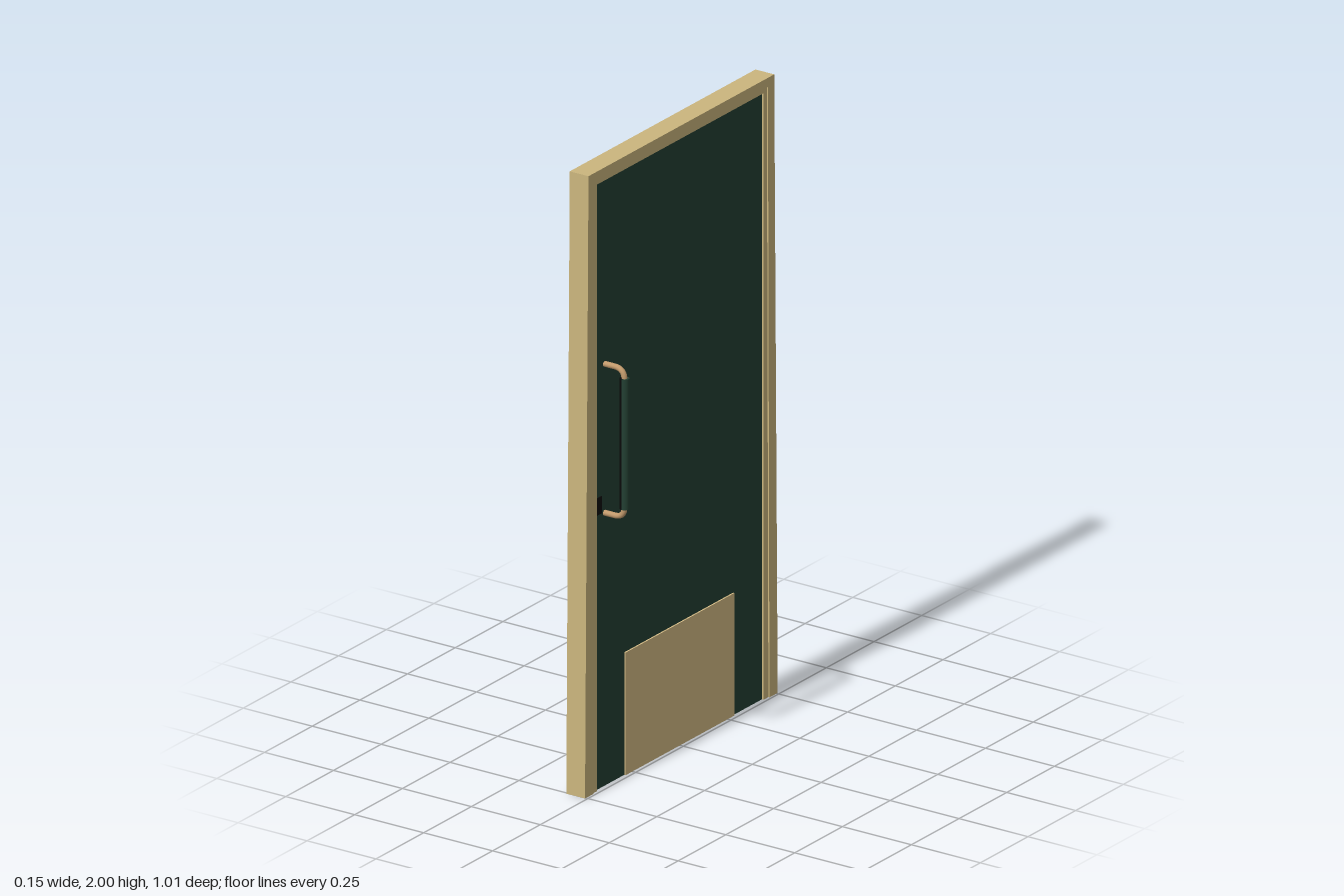
import * as THREE from 'three';

const mat = (name, color) => {
  const m = new THREE.MeshStandardMaterial({ color });
  m.name = name;
  return m;
};

export function createModel() {
  const model = new THREE.Group();
  model.name = 'door';
  const tan = mat('tan frame', 0xcbb67e);
  const brass = mat('pale brass', 0xd4bb85);
  const green = mat('dark green', 0x234033);
  const bronze = mat('handle bronze', 0xc29a6c);
  const brown = mat('dark brown', 0x4a3420);
  const black = mat('black', 0x0a0a0a);

  const add = (name, geometry, material, parent = model) => {
    const mesh = new THREE.Mesh(geometry, material);
    mesh.name = name;
    parent.add(mesh);
    return mesh;
  };
  const box = (name, material, x0, x1, y0, y1, z0, z1) => {
    const m = add(name, new THREE.BoxGeometry(x1 - x0, y1 - y0, z1 - z0), material);
    m.position.set((x0 + x1) / 2, (y0 + y1) / 2, (z0 + z1) / 2);
    return m;
  };
  // Outline drawn in the z-y plane, running in depth from xFront back to xBack
  const slab = (name, shape, material, xFront, xBack) => {
    const g = new THREE.ExtrudeGeometry(shape, { depth: xFront - xBack, bevelEnabled: false, curveSegments: 6 });
    g.rotateY(-Math.PI / 2);
    g.translate(xFront, 0, 0);
    return add(name, g, material);
  };
  // Arch of two posts and a head: half widths at the foot and at the top, outside and inside
  const arch = (outFoot, outTop, outY, inFoot, inTop, inY) => new THREE.Shape([
    [-outFoot, 0], [-inFoot, 0], [-inTop, inY], [inTop, inY],
    [inFoot, 0], [outFoot, 0], [outTop, outY], [-outTop, outY],
  ].map(([z, y]) => new THREE.Vector2(z, y)));

  // Tapered surround, stepped inner stop, dark lining behind the leaf
  slab('frame', arch(0.505, 0.487, 2, 0.462, 0.454, 1.97), tan, -0.007, -0.075);
  slab('frameStop', arch(0.463, 0.455, 1.971, 0.437, 0.437, 1.955), tan, -0.011, -0.027);
  slab('frameLining', arch(0.462, 0.454, 1.97, 0.457, 0.449, 1.965), brown, -0.027, -0.074);

  // Door leaf
  box('doorLeaf', green, -0.026, -0.017, 0, 1.956, -0.438, 0.438);
  box('kickPlate', brass, -0.017, -0.012, 0, 0.395, -0.285, 0.285);

  // Rear kick plate with rounded upper corners
  const w = 0.285, h = 0.395, r = 0.035;
  const plate = new THREE.Shape();
  plate.moveTo(-w, 0);
  plate.lineTo(w, 0);
  plate.lineTo(w, h - r);
  plate.quadraticCurveTo(w, h, w - r, h);
  plate.lineTo(-w + r, h);
  plate.quadraticCurveTo(-w, h, -w, h - r);
  slab('rearKickPlate', plate, black, -0.026, -0.029);

  // Pull handle
  const handle = new THREE.Group();
  handle.name = 'handle';
  handle.position.z = 0.388;
  model.add(handle);
  const yLow = 0.88, yHigh = 1.36, xBar = 0.055, bend = 0.035;
  const v = (x, y) => new THREE.Vector3(x, y, 0);
  const path = new THREE.CurvePath();
  path.add(new THREE.LineCurve3(v(-0.018, yLow), v(xBar - bend, yLow)));
  path.add(new THREE.QuadraticBezierCurve3(v(xBar - bend, yLow), v(xBar, yLow), v(xBar, yLow + bend)));
  path.add(new THREE.LineCurve3(v(xBar, yLow + bend), v(xBar, yHigh - bend)));
  path.add(new THREE.QuadraticBezierCurve3(v(xBar, yHigh - bend), v(xBar, yHigh), v(xBar - bend, yHigh)));
  path.add(new THREE.LineCurve3(v(xBar - bend, yHigh), v(-0.018, yHigh)));
  add('handleTube', new THREE.TubeGeometry(path, 120, 0.009, 12), bronze, handle);

  // Grip sleeve: green outward half, black inward half
  const half = (name, material, start) => {
    const g = new THREE.CylinderGeometry(0.015, 0.015, 0.42, 12, 1, false, start, Math.PI);
    add(name, g, material, handle).position.set(xBar, (yLow + yHigh) / 2, 0);
  };
  half('gripFront', green, 0);
  half('gripBack', black, Math.PI);

  // Fixing bolts on the rear face
  for (const y of [yLow, yHigh]) {
    const bolt = add('handleBolt', new THREE.CylinderGeometry(0.014, 0.014, 0.006, 12), black, handle);
    bolt.rotation.z = Math.PI / 2;
    bolt.position.set(-0.028, y, 0);
  }

  // Lock plate beside the handle
  box('lockPlate', black, -0.017, -0.014, 0.885, 0.94, 0.405, 0.432);

  return model;
}
